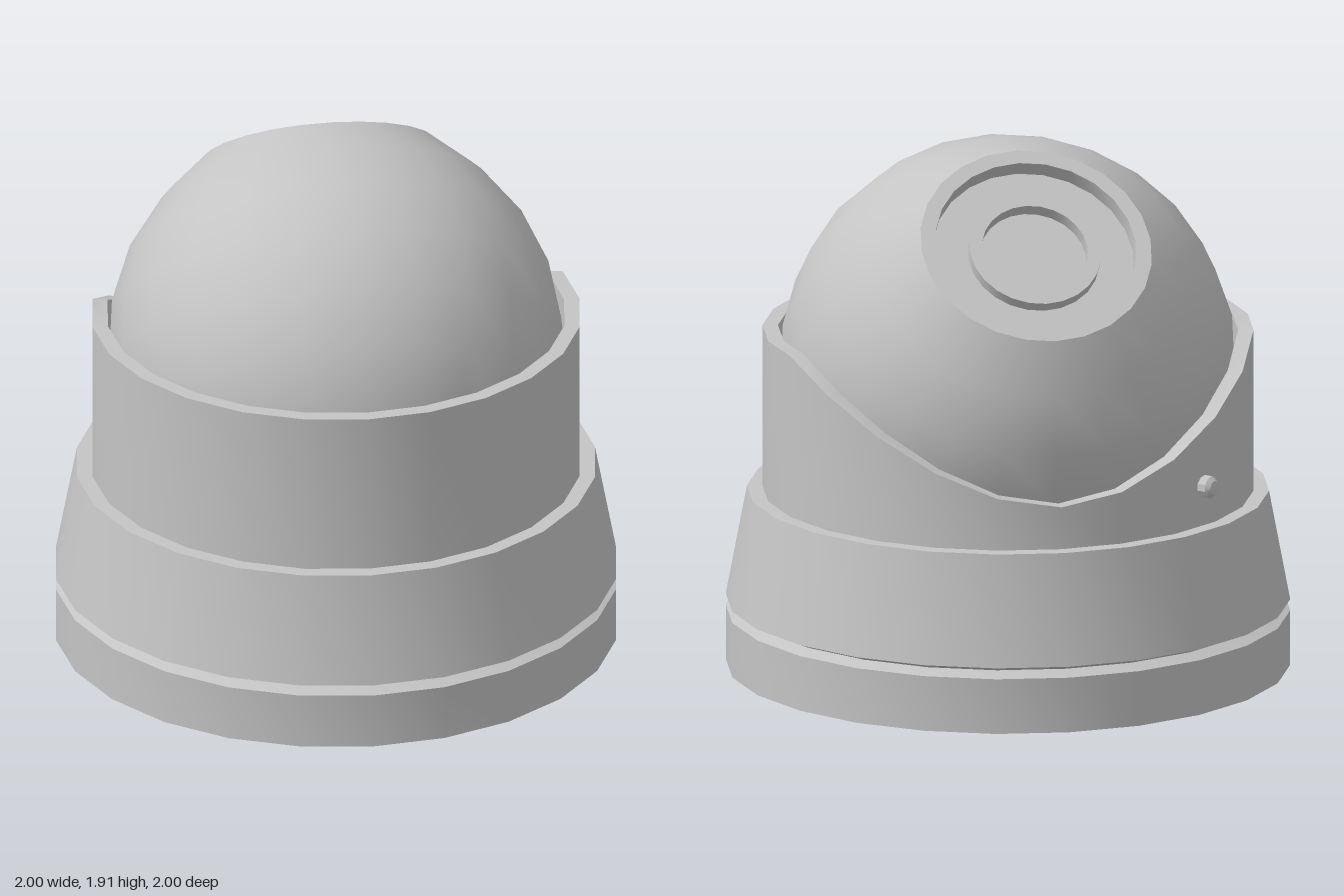
import * as THREE from 'three';
import { toCreasedNormals } from 'three/addons/utils/BufferGeometryUtils.js';

const SIDES = 24;
const CREASE = 0.5;

// Turned part from [radius, height] pairs, smooth round the axis, sharp at edges
function turned(name, profile, material, sides = SIDES) {
  const points = profile.map(([r, y]) => new THREE.Vector2(r, y));
  const geometry = toCreasedNormals(new THREE.LatheGeometry(points, sides), CREASE);
  const mesh = new THREE.Mesh(geometry, material);
  mesh.name = name;
  return mesh;
}

// Hollow collar whose top edge dips towards the back
function collarGeometry(outer, inner, bottom) {
  const heights = [0.79, 0.825, 0.91, 1.02, 1.132, 1.225];
  const section = (i) => {
    const a = (i / SIDES) * Math.PI * 2;
    const fromBack = Math.min(i % SIDES, SIDES - (i % SIDES));
    const top = heights[Math.min(fromBack, heights.length - 1)];
    const at = (r, y) => [r * Math.sin(a), y, -r * Math.cos(a)];
    return [at(outer, bottom), at(outer, top), at(inner, top), at(inner, bottom)];
  };
  const positions = [];
  for (let i = 0; i < SIDES; i++) {
    const A = section(i), B = section(i + 1);
    for (let k = 0; k < 4; k++) {
      const n = (k + 1) % 4;
      for (const p of [A[k], A[n], B[n], A[k], B[n], B[k]]) positions.push(...p);
    }
  }
  const geometry = new THREE.BufferGeometry();
  geometry.setAttribute('position', new THREE.Float32BufferAttribute(positions, 3));
  return toCreasedNormals(geometry, CREASE);
}

export function createModel() {
  const model = new THREE.Group();
  model.name = 'domeCamera';
  const grey = new THREE.MeshStandardMaterial({ color: 0xc4c4c4 });
  grey.name = 'lightGrey';

  // Base disc, V groove and tapered skirt
  model.add(turned('base', [
    [0, 0], [1, 0], [1, 0.2], [0.95, 0.22], [1, 0.24],
    [0.925, 0.637], [0.8, 0.637], [0, 0.637],
  ], grey));

  // Collar around the ball
  const collar = new THREE.Mesh(collarGeometry(0.87, 0.815, 0.62), grey);
  collar.name = 'collar';
  model.add(collar);

  // Tilted ball with the lens recess facing up and back
  const ball = new THREE.Group();
  ball.name = 'cameraBall';
  ball.position.y = 1.1;
  ball.rotation.x = -0.7;
  const R = 0.81, steps = 10;
  const shell = [];
  for (let i = 0; i < steps; i++) {
    const a = (i / 12) * Math.PI;
    shell.push([R * Math.sin(a), -R * Math.cos(a)]);
  }
  shell.push([0.415, 0.707]);
  ball.add(turned('ballShell', shell, grey));
  ball.add(turned('lensRecess', [
    [0.415, 0.707], [0.36, 0.707], [0.36, 0.642], [0.236, 0.642],
  ], grey));
  ball.add(turned('lensRing', [[0.236, 0.642], [0.236, 0.684], [0.19, 0.684], [0.19, 0.634]], grey));
  ball.add(turned('lens', [[0.19, 0.634], [0, 0.634]], grey));
  model.add(ball);

  // Small screw on the back of the collar
  const screw = turned('screw', [[0.04, -0.03], [0.04, 0.03], [0.026, 0.045], [0, 0.048]], grey, 10);
  const out = new THREE.Vector3(-0.58, 0, -0.67).normalize();
  screw.quaternion.setFromUnitVectors(new THREE.Vector3(0, 1, 0), out);
  screw.position.copy(out).multiplyScalar(0.865).setY(0.78);
  model.add(screw);

  return model;
}
